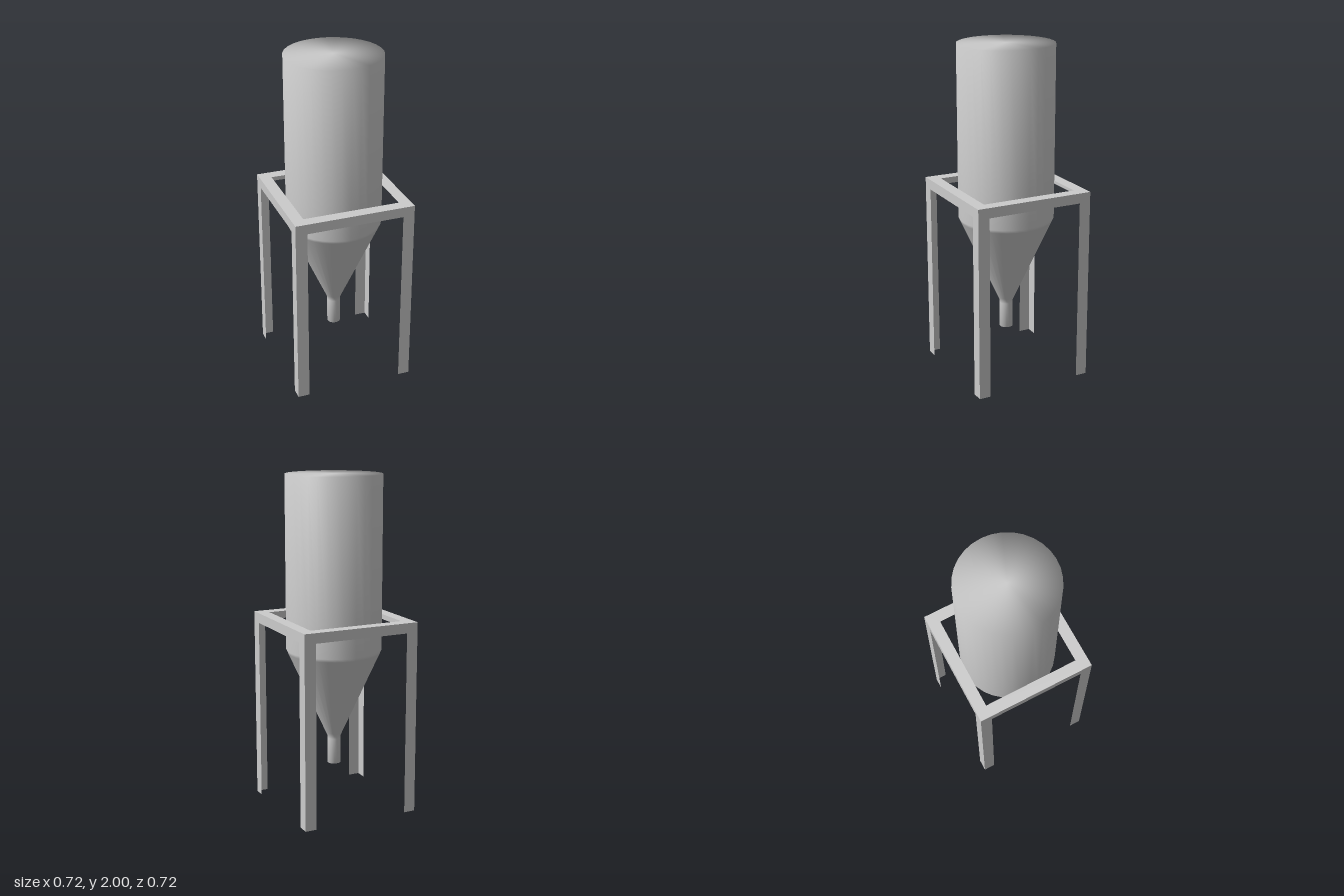
import * as THREE from 'three';

const HALF = 0.361;        // half width of the stand
const FLANGE = 0.07;       // width of the angle-section legs and rails
const RAIL_BOTTOM = 1.10;
const RAIL_TOP = 1.16;

const smooth = new THREE.MeshStandardMaterial({ color: 0xcccccc, side: THREE.DoubleSide });
const sheet = new THREE.MeshStandardMaterial({ color: 0xcccccc, side: THREE.DoubleSide });

// Upright sheet on the +z side of its parent, given by its x and y limits
function panel(name, x0, x1, y0, y1) {
  const mesh = new THREE.Mesh(new THREE.PlaneGeometry(x1 - x0, y1 - y0), sheet);
  mesh.position.set((x0 + x1) / 2, (y0 + y1) / 2, HALF);
  mesh.name = name;
  return mesh;
}

function square(Type, h) {
  const s = new Type();
  s.moveTo(-h, -h);
  s.lineTo(h, -h);
  s.lineTo(h, h);
  s.lineTo(-h, h);
  s.closePath();
  return s;
}

export function createModel() {
  const model = new THREE.Group();
  model.name = 'silo';

  // Closed vessel: spout, cone, cylinder and flat lid in one smooth skin
  const profile = [
    [0, 0.254], [0.04, 0.254], [0.04, 0.41], [0.04, 0.425], [0.049, 0.445],
    [0.276, 0.947], [0.285, 0.967], [0.285, 2], [0, 2],
  ].map(([r, y]) => new THREE.Vector2(r, y));
  const skin = new THREE.LatheGeometry(profile, 32);
  skin.normalizeNormals();
  const vessel = new THREE.Mesh(skin, smooth);
  vessel.name = 'vessel';
  model.add(vessel);

  // Stand: each side carries a rail wall and one flange of each of its two legs
  const stand = new THREE.Group();
  stand.name = 'stand';
  for (let i = 0; i < 4; i++) {
    const side = new THREE.Group();
    side.name = 'standSide';
    side.rotation.y = i * Math.PI / 2;
    side.add(
      panel('railWall', -HALF, HALF, RAIL_BOTTOM, RAIL_TOP),
      panel('legFlange', -HALF, -HALF + FLANGE, 0, RAIL_BOTTOM),
      panel('legFlange', HALF - FLANGE, HALF, 0, RAIL_BOTTOM),
    );
    stand.add(side);
  }

  // Flat top flange of the rails
  const ring = square(THREE.Shape, HALF);
  ring.holes.push(square(THREE.Path, HALF - FLANGE));
  const top = new THREE.Mesh(new THREE.ShapeGeometry(ring), sheet);
  top.rotation.x = -Math.PI / 2;
  top.position.y = RAIL_TOP;
  top.name = 'railTop';
  stand.add(top);

  model.add(stand);
  return model;
}
